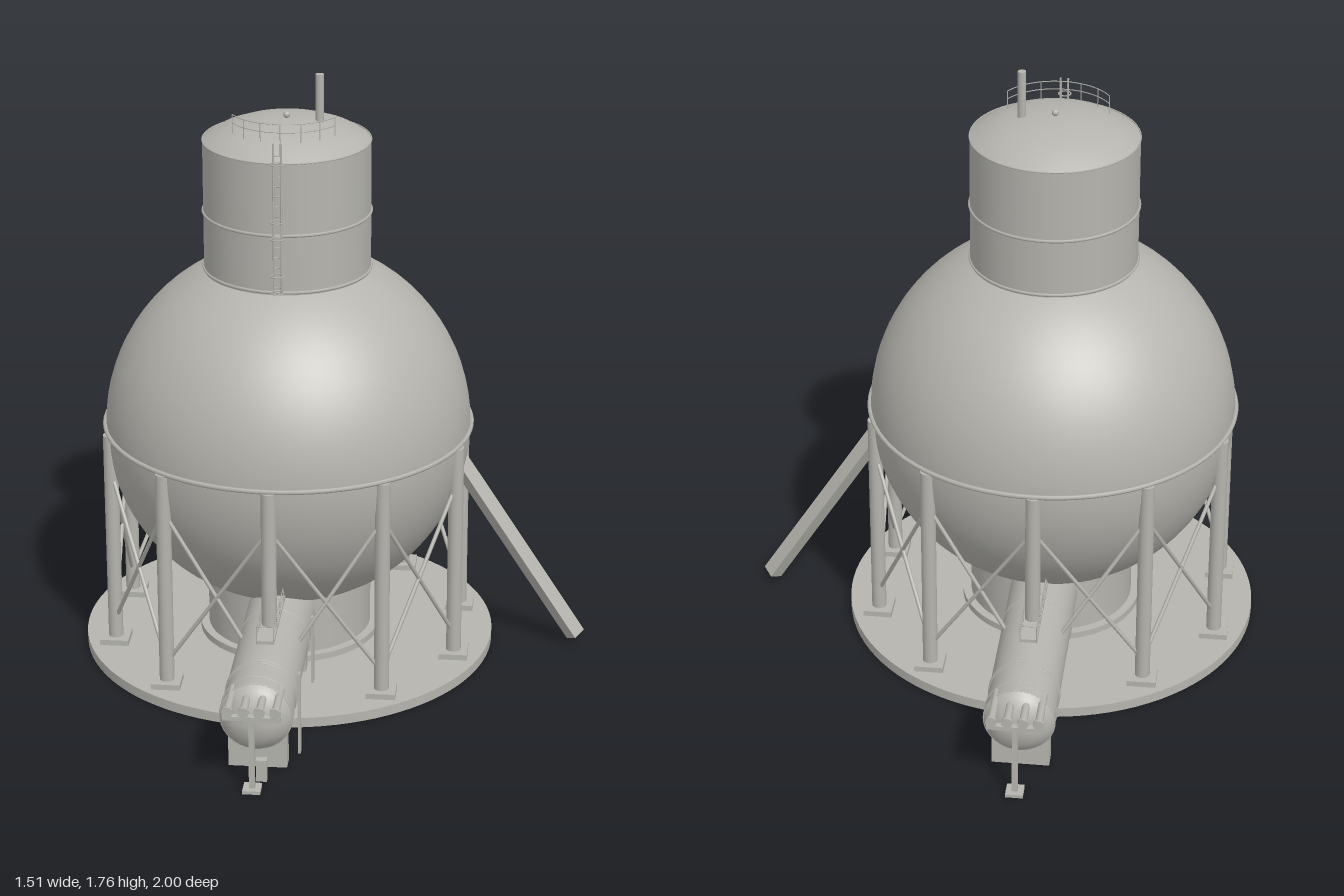
import * as THREE from 'three';
import { toCreasedNormals } from 'three/addons/utils/BufferGeometryUtils.js';

export function createModel() {
  const model = new THREE.Group();
  model.name = 'storageTank';
  // everything except the chute is centred on the vessel axis
  const plant = new THREE.Group();
  plant.name = 'plant';
  plant.position.x = -0.14;
  model.add(plant);

  const steel = new THREE.MeshStandardMaterial({ color: 0xb5b4ae, side: THREE.DoubleSide });
  steel.name = 'grey steel';

  const V = (x, y, z) => new THREE.Vector3(x, y, z);
  function add(parent, name, geo, x = 0, y = 0, z = 0) {
    const m = new THREE.Mesh(geo, steel);
    m.name = name;
    m.position.set(x, y, z);
    parent.add(m);
    return m;
  }
  const box = (p, name, w, h, d, x, y, z) => add(p, name, new THREE.BoxGeometry(w, h, d), x, y, z);
  const disc = (p, name, r, y0, y1, x = 0, z = 0, seg = 64) =>
    add(p, name, new THREE.CylinderGeometry(r, r, y1 - y0, seg), x, (y0 + y1) / 2, z);
  const lathe = (pts, seg = 64) => toCreasedNormals(
    new THREE.LatheGeometry(pts.map(([r, y]) => new THREE.Vector2(r, y)), seg), 0.5);
  // straight bar between two points
  function bar(p, name, a, b, r, seg = 8) {
    const m = add(p, name, new THREE.CylinderGeometry(r, r, a.distanceTo(b), seg));
    m.position.copy(a).add(b).multiplyScalar(0.5);
    m.quaternion.setFromUnitVectors(V(0, 1, 0), b.clone().sub(a).normalize());
    return m;
  }
  // flat hoop round the vertical axis
  function hoop(p, name, R, r, y, x = 0, z = 0, seg = 64) {
    const m = add(p, name, new THREE.TorusGeometry(R, r, 6, seg), x, y, z);
    m.rotation.x = Math.PI / 2;
    return m;
  }

  // foundation and skirt
  disc(plant, 'basePad', 0.615, 0, 0.03, 0, 0, 96);
  disc(plant, 'skirtFooting', 0.27, 0.03, 0.05);
  disc(plant, 'skirt', 0.245, 0.05, 0.24);

  // sphere
  add(plant, 'sphere', new THREE.SphereGeometry(0.54, 64, 40), 0, 0.7, 0);
  hoop(plant, 'equatorRing', 0.543, 0.007, 0.705, 0, 0, 80);

  // upper cylinder with shallow dome
  add(plant, 'upperTank', lathe([[0.243, 1.15], [0.243, 1.57], [0.2, 1.597],
    [0.15, 1.616], [0.08, 1.63], [0, 1.635]]));
  for (const y of [1.19, 1.36, 1.572]) hoop(plant, 'tankBand', 0.243, y > 1.5 ? 0.002 : 0.005, y);
  add(plant, 'topVent', new THREE.SphereGeometry(0.01, 12, 8), 0, 1.643, 0);
  disc(plant, 'ventStack', 0.012, 1.6, 1.765, 0.095, 0, 16);

  // legs, foot pads and cross bracing
  const legs = 10;
  const at = (i, y) => {
    const a = (i / legs) * Math.PI * 2;
    return V(Math.sin(a) * 0.535, y, Math.cos(a) * 0.535);
  };
  for (let i = 0; i < legs; i++) {
    bar(plant, 'leg', at(i, 0.03), at(i, 0.7), 0.022, 16);
    const f = at(i, 0.038);
    box(plant, 'footPad', 0.085, 0.018, 0.085, f.x, f.y, f.z);
    bar(plant, 'brace', at(i, 0.1), at(i + 1, 0.58), 0.006);
    bar(plant, 'brace', at(i, 0.58), at(i + 1, 0.1), 0.006);
  }

  // roof guard rail, an arc facing forwards
  const arcPoint = (a, y) => V(Math.sin(a) * 0.168, y, Math.cos(a) * 0.168);
  const ends = 1.05;
  for (const y of [1.64, 1.664]) {
    const pts = [];
    for (let i = 0; i <= 12; i++) pts.push(arcPoint(ends * (i / 6 - 1), y));
    add(plant, 'roofRail', new THREE.TubeGeometry(new THREE.CatmullRomCurve3(pts), 24, 0.0015, 5));
  }
  for (let i = 0; i <= 6; i++) {
    const a = ends * (i / 3 - 1);
    bar(plant, 'roofRailPost', arcPoint(a, 1.605), arcPoint(a, 1.664), 0.0015, 5);
  }

  // ladder with cage hoops
  for (const x of [-0.011, 0.011]) bar(plant, 'ladderRail', V(x, 1.19, 0.255), V(x, 1.635, 0.255), 0.003);
  for (let y = 1.21; y < 1.62; y += 0.03) bar(plant, 'rung', V(-0.011, y, 0.255), V(0.011, y, 0.255), 0.0015, 5);
  for (const y of [1.2, 1.25, 1.36, 1.41, 1.58]) hoop(plant, 'ladderHoop', 0.018, 0.002, y, 0, 0.27, 16);

  // horizontal vessel with its supports and piping, extending along +z
  function sideVessel(name) {
    const g = new THREE.Group();
    g.name = name;
    const shell = add(g, 'vesselShell', lathe([[0, 0.2], [0.1, 0.2], [0.1, 0.875], [0.088, 0.893],
      [0.06, 0.912], [0.03, 0.92], [0, 0.922]], 40), 0, 0.175, 0);
    shell.rotation.x = Math.PI / 2;
    for (const z of [0.41, 0.735, 0.75, 0.83, 0.873])
      add(g, 'vesselBand', new THREE.TorusGeometry(0.1, 0.003, 6, 40), 0, 0.175, z);
    for (const z of [0.3, 0.82]) box(g, 'saddle', 0.165, 0.12, 0.045, 0, 0.06, z);
    for (const x of [-0.04, 0.04]) {
      disc(g, 'vesselPost', 0.009, 0, 0.12, x, 0.65, 10);
      box(g, 'vesselPostFoot', 0.04, 0.01, 0.04, x, 0.005, 0.65);
    }
    // outlet pipes and their trestle
    for (const x of [-0.066, -0.022, 0.022, 0.066]) {
      bar(g, 'outletPipe', V(x, 0.243, 0.84), V(x, 0.243, 0.975), 0.011, 12);
      bar(g, 'pipeFlange', V(x, 0.243, 0.975), V(x, 0.243, 0.985), 0.016, 12);
    }
    box(g, 'trestleBeam', 0.16, 0.012, 0.018, 0, 0.224, 0.975);
    box(g, 'trestlePost', 0.016, 0.22, 0.016, 0, 0.11, 0.975);
    box(g, 'trestleFoot', 0.05, 0.01, 0.05, 0, 0.005, 0.975);
    // walkway on top
    box(g, 'walkway', 0.05, 0.01, 0.345, 0, 0.285, 0.4725);
    for (const x of [-0.024, 0.024]) {
      for (const y of [0.31, 0.335]) bar(g, 'walkwayRail', V(x, y, 0.3), V(x, y, 0.645), 0.0015, 5);
      for (let i = 0; i < 5; i++) {
        const z = 0.3 + i * 0.08625;
        bar(g, 'walkwayPost', V(x, 0.28, z), V(x, 0.335, z), 0.0015, 5);
      }
    }
    bar(g, 'walkwayEndRail', V(-0.024, 0.335, 0.645), V(0.024, 0.335, 0.645), 0.0015, 5);
    plant.add(g);
    return g;
  }
  const front = sideVessel('frontVessel');
  sideVessel('backVessel').rotation.y = Math.PI;
  // control posts and cabinet beside the front vessel
  box(front, 'controlPost', 0.008, 0.25, 0.018, 0.108, 0.125, 0.75);
  box(front, 'controlPost', 0.008, 0.21, 0.02, 0.108, 0.135, 0.38);
  box(front, 'controlCabinet', 0.03, 0.065, 0.022, 0.025, 0.057, 0.958);

  // square inclined chute
  bar(model, 'chute', V(0.355, 0.61, 0), V(0.73, 0.029, 0), 0.03, 4).material = steel;
  model.getObjectByName('chute').geometry = toCreasedNormals(
    model.getObjectByName('chute').geometry, 0.5);

  return model;
}
